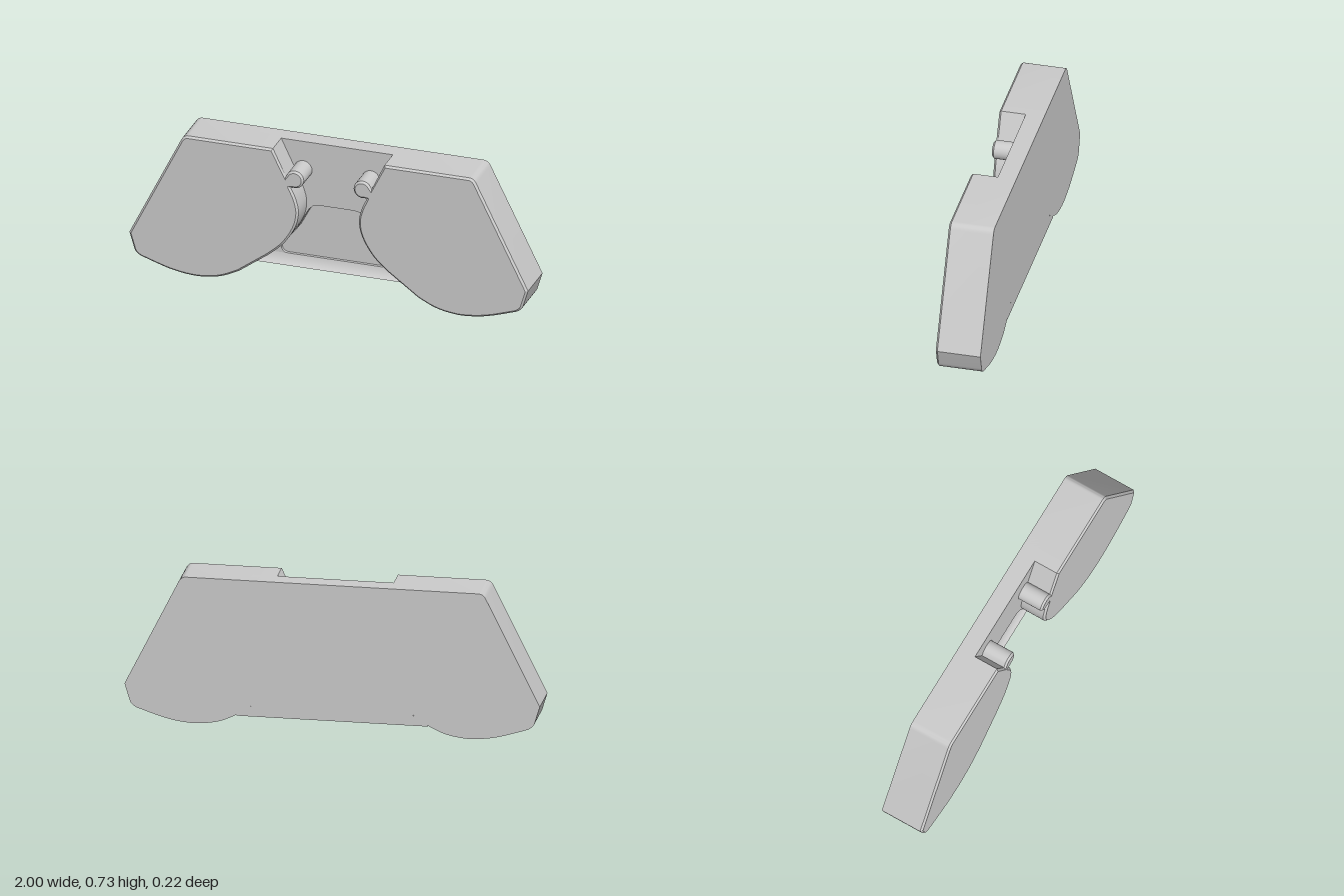
import * as THREE from 'three';
import { toCreasedNormals } from 'three/addons/utils/BufferGeometryUtils.js';

const BACK = -0.11;
const material = new THREE.MeshStandardMaterial({ color: 0xcccccc });

function part(name, geometry) {
  const mesh = new THREE.Mesh(toCreasedNormals(geometry, 0.5), material);
  mesh.name = name;
  return mesh;
}

// Straight slab standing on the back plane
function slab(name, shape, front) {
  const g = new THREE.ExtrudeGeometry(shape, { depth: front - BACK, bevelEnabled: false, curveSegments: 10 });
  return part(name, g.translate(0, 0, BACK));
}

// Outline of one grip, with its round peg; side is +1 or -1
function gripShape(side) {
  const s = new THREE.Shape();
  s.moveTo(0.28, 0.73);
  s.lineTo(0.215, 0.593);
  s.lineTo(0.202, 0.616);
  for (let i = 1; i <= 16; i++) { // peg
    const a = THREE.MathUtils.degToRad(45 + i * 15);
    s.lineTo(0.17 + 0.045 * Math.cos(a), 0.584 + 0.045 * Math.sin(a));
  }
  s.lineTo(0.192, 0.54);
  s.splineThru([[0.165, 0.48], [0.152, 0.41], [0.17, 0.33], [0.225, 0.24], [0.3, 0.17]]
    .map(p => new THREE.Vector2(...p)));
  s.lineTo(0.45, 0.06);
  s.splineThru([[0.53, 0.022], [0.61, 0.004], [0.69, 0.001], [0.8, 0.018], [0.94, 0.062]]
    .map(p => new THREE.Vector2(...p)));
  s.quadraticCurveTo(0.97, 0.075, 0.976, 0.1);
  s.lineTo(1, 0.18);
  s.lineTo(0.74, 0.705);
  s.quadraticCurveTo(0.727, 0.73, 0.705, 0.73);
  return new THREE.Shape(s.getPoints(5).map(p => new THREE.Vector2(side * p.x, p.y)));
}

function grip(name, side) {
  const bevel = 0.01;
  const g = new THREE.ExtrudeGeometry(gripShape(side), {
    depth: 0.21, bevelEnabled: true, bevelSegments: 1,
    bevelSize: bevel, bevelThickness: bevel, bevelOffset: -bevel,
  });
  // Bevel only the front edge: press the back bevel flat
  const p = g.attributes.position;
  for (let i = 0; i < p.count; i++) p.setZ(i, Math.max(0, p.getZ(i)));
  g.translate(0, 0, BACK);
  g.computeVertexNormals();
  return part(name, g);
}

export function createModel() {
  const model = new THREE.Group();
  model.name = 'controllerHolder';
  model.add(grip('leftGrip', 1), grip('rightGrip', -1));

  // Upper bridge between the grips, arched below
  const half = [[0.4, 0.73], [0.4, 0.16], [0.3, 0.16], [0.255, 0.2], [0.205, 0.26],
    [0.165, 0.335], [0.14, 0.38], [0.12, 0.398], [0.085, 0.405]];
  const outline = [...half, ...half.map(([x, y]) => [-x, y]).reverse()];
  model.add(slab('bridge', new THREE.Shape(outline.map(p => new THREE.Vector2(...p))), -0.02));

  // Thin rim around the lower recess
  const rim = new THREE.Shape([[-0.39, 0.1], [0.39, 0.1], [0.39, 0.45], [-0.39, 0.45]]
    .map(p => new THREE.Vector2(...p)));
  const r = 0.035, w = 0.3, y0 = 0.101, y1 = 0.42;
  const hole = new THREE.Path();
  hole.moveTo(-w, y1);
  hole.lineTo(-w, y0 + r);
  hole.quadraticCurveTo(-w, y0, -w + r, y0);
  hole.lineTo(w - r, y0);
  hole.quadraticCurveTo(w, y0, w, y0 + r);
  hole.lineTo(w, y1);
  rim.holes.push(hole);
  model.add(slab('recessRim', rim, -0.08));

  // Recess floor
  const floor = new THREE.BoxGeometry(0.76, 0.35, 0.015);
  model.add(part('recessFloor', floor.translate(0, 0.265, BACK + 0.0075)));

  // Curved bottom lip, profile drawn in z and y, swept along x
  const lip = new THREE.Shape();
  lip.moveTo(0.11, 0.05);
  lip.lineTo(0.11, 0.1);
  lip.lineTo(0.08, 0.1);
  lip.quadraticCurveTo(0.072, 0.065, 0.05, 0.05);
  const lipGeometry = new THREE.ExtrudeGeometry(lip, { depth: 0.92, bevelEnabled: false, curveSegments: 8 });
  lipGeometry.rotateY(Math.PI / 2).translate(-0.46, 0, 0);
  model.add(part('bottomLip', lipGeometry));

  return model;
}
